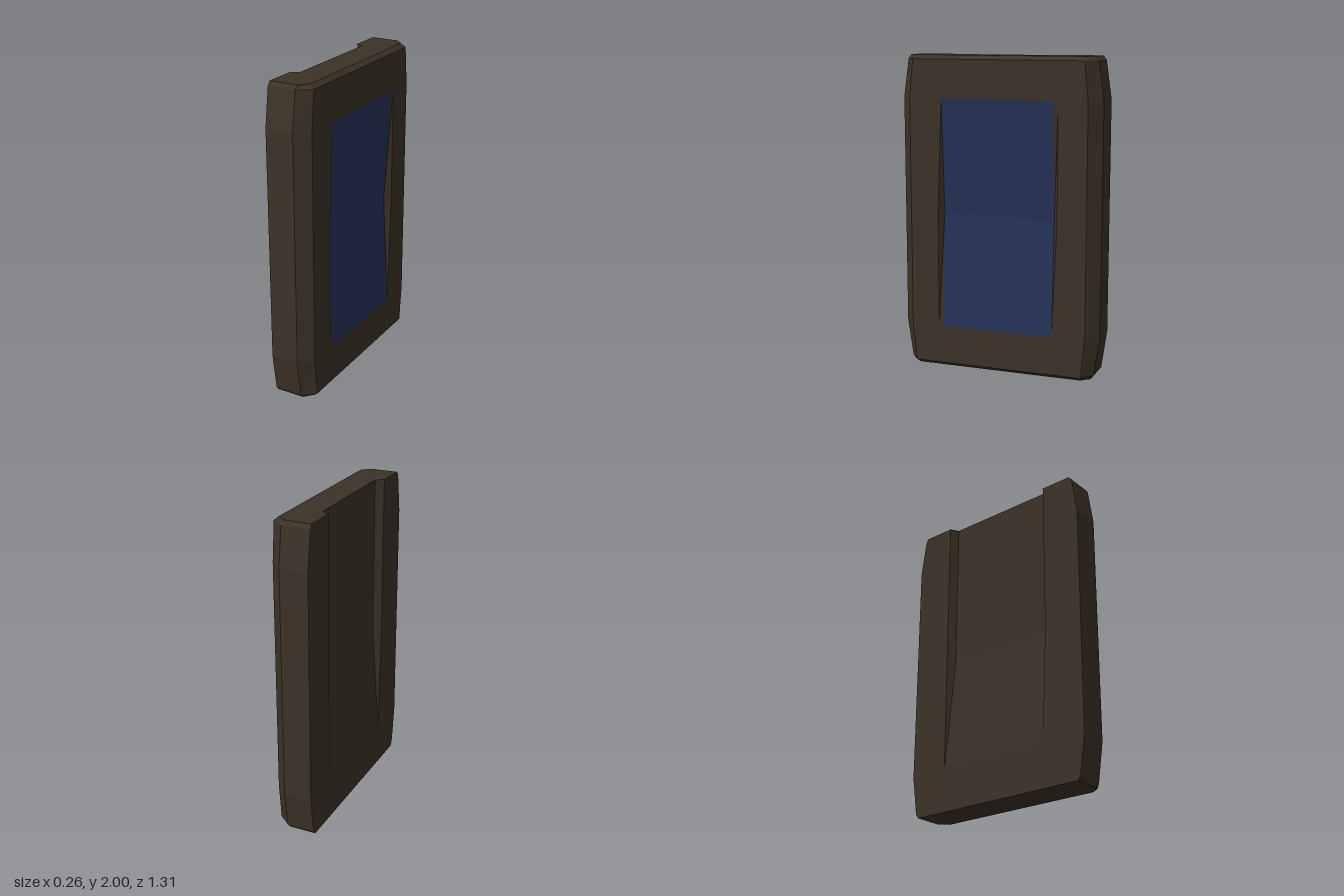
import * as THREE from 'three';

// Height, side half-width, front half-width, front x, front recess x, back groove x
const RINGS = [
  [0, 0.60, 0.545, 0.10, 0.10, -0.13],
  [0.025, 0.62, 0.555, 0.13, 0.13, -0.13],
  [0.27, 0.655, 0.58, 0.13, 0.13, -0.13],
  [1, 0.655, 0.58, 0.13, 0.09, -0.08],
  [1.735, 0.655, 0.58, 0.13, 0.13, -0.08],
  [1.975, 0.62, 0.555, 0.13, 0.13, -0.08],
  [2, 0.60, 0.545, 0.10, 0.10, -0.08],
];
const BACK = -0.13, OUTER = 0.395, INNER = 0.365;
const PANEL_SIDE = 2; // section edge forming the recessed panel

// Horizontal section through the case, counter-clockwise seen from above
function section([y, side, front, xf, recess, groove]) {
  const half = [
    [xf, front], [xf, OUTER], [recess, INNER],
  ];
  const back = [
    [0.05, side], [BACK, side], [BACK, OUTER], [groove, INNER],
  ];
  const mirror = (pts) => pts.map(([x, z]) => [x, -z]);
  return [
    ...half, ...mirror(half).reverse(),
    ...mirror(back), ...back.reverse(),
  ].map(([x, z]) => new THREE.Vector3(x, y, z));
}

function toGeometry(points) {
  const geometry = new THREE.BufferGeometry().setFromPoints(points);
  geometry.computeVertexNormals(); // unshared corners give flat faces
  return geometry;
}

export function createModel() {
  const brown = new THREE.MeshStandardMaterial({ name: 'dark brown', color: 0x3c3227 });
  const blue = new THREE.MeshStandardMaterial({ name: 'navy blue', color: 0x263158 });

  const sections = RINGS.map(section);
  const count = sections[0].length;
  const body = [], panel = [];

  // Side faces between neighbouring sections
  for (let r = 0; r < sections.length - 1; r++) {
    const lo = sections[r], hi = sections[r + 1];
    for (let i = 0; i < count; i++) {
      const j = (i + 1) % count;
      const target = i === PANEL_SIDE && (r === 2 || r === 3) ? panel : body;
      target.push(lo[i], lo[j], hi[j], lo[i], hi[j], hi[i]);
    }
  }

  // Flat top and bottom
  for (const [ring, up] of [[sections[0], false], [sections[sections.length - 1], true]]) {
    const flat = ring.map((p) => new THREE.Vector2(p.x, -p.z));
    for (const [a, b, c] of THREE.ShapeUtils.triangulateShape(flat, [])) {
      body.push(ring[a], ring[up ? b : c], ring[up ? c : b]);
    }
  }

  const group = new THREE.Group();
  group.name = 'beveledTablet';
  const caseMesh = new THREE.Mesh(toGeometry(body), brown);
  caseMesh.name = 'case';
  const panelMesh = new THREE.Mesh(toGeometry(panel), blue);
  panelMesh.name = 'recessedPanel';
  group.add(caseMesh, panelMesh);
  return group;
}
